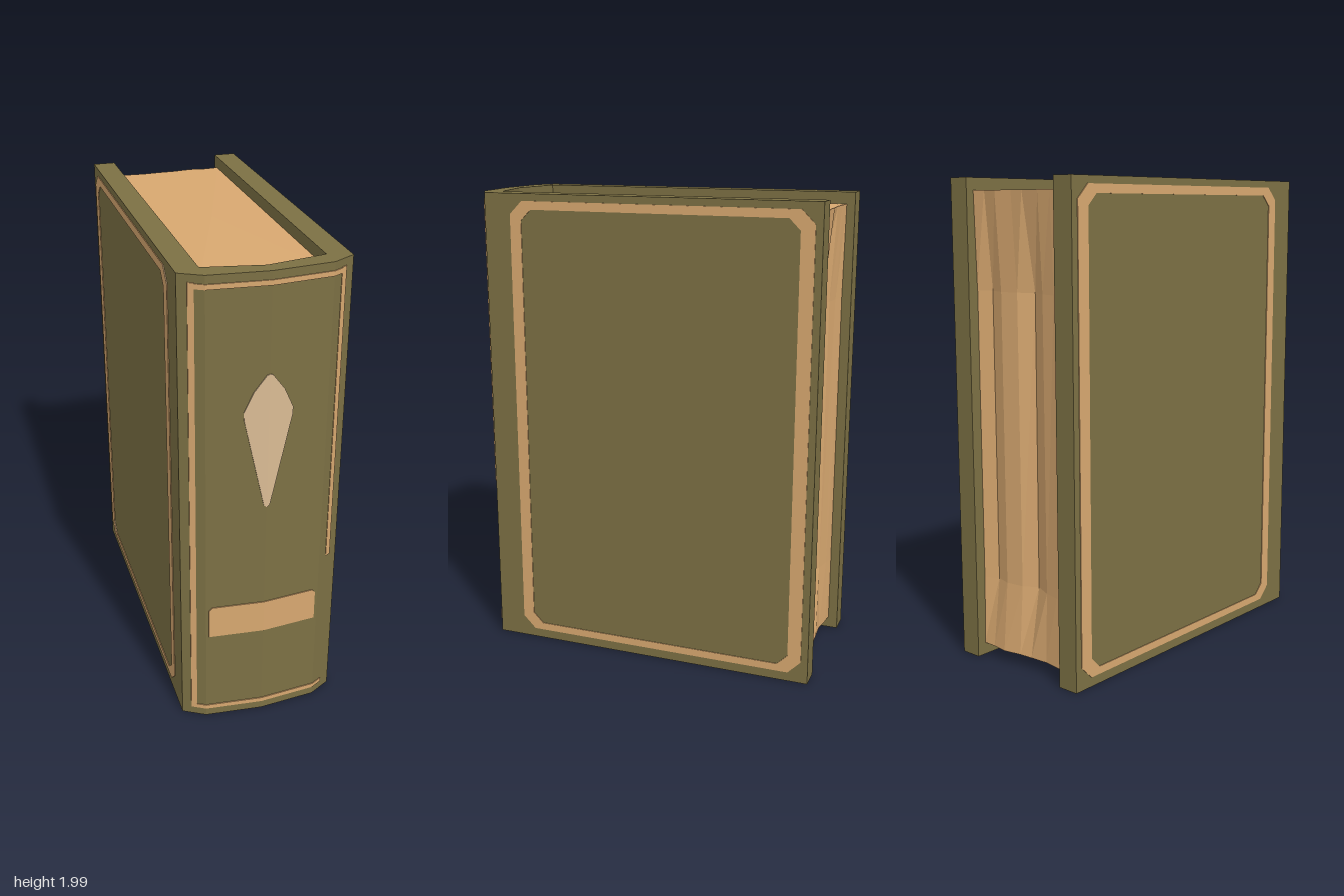
import * as THREE from 'three';

const Y0 = 0.01, Y1 = 1.995;
const mat = (name, color) => Object.assign(new THREE.MeshStandardMaterial({ color }), { name });

// Outer spine profile: depth at a given x
function spineZ(x) {
  const a = Math.abs(x);
  return a < 0.24 ? 0.755 - (a / 0.24) * 0.022 : 0.733 - ((a - 0.24) / 0.09) * 0.05;
}

function polygon(points) {
  return new THREE.Shape(points.map(([x, y]) => new THREE.Vector2(x, y)));
}

// Rectangle with cut corners
function chamferedRect(x0, y0, x1, y1, c) {
  return [[x0 + c, y0], [x1 - c, y0], [x1, y0 + c], [x1, y1 - c],
    [x1 - c, y1], [x0 + c, y1], [x0, y1 - c], [x0, y0 + c]];
}

// Thin plate that follows the spine profile
function spinePlate(points) {
  const g = new THREE.ExtrudeGeometry(polygon(points), { depth: 0.008, bevelEnabled: false });
  const p = g.attributes.position;
  for (let i = 0; i < p.count; i++) p.setZ(i, p.getZ(i) - 0.004 + spineZ(p.getX(i)));
  g.computeVertexNormals();
  return g;
}

// Page block: stacked cross-sections with a rippled fore-edge
function pageBlock() {
  const xs = [-0.24, -0.18, -0.11, -0.03, 0.03, 0.11, 0.18, 0.24];
  const levels = [
    { y: 0.06, z: [-0.715, -0.71, -0.7, -0.705, -0.71, -0.725, -0.715, -0.715] },
    { y: 0.35, z: [-0.715, -0.705, -0.69, -0.655, -0.69, -0.7, -0.68, -0.71] },
    { y: 1.55, z: [-0.715, -0.7, -0.69, -0.65, -0.69, -0.7, -0.68, -0.71] },
    { y: 1.945, z: [-0.72, -0.715, -0.71, -0.715, -0.715, -0.725, -0.715, -0.72] },
  ];
  const n = xs.length + 3, pos = [], idx = [];
  for (const { y, z } of levels) {
    xs.forEach((x, i) => pos.push(x, y, z[i]));
    pos.push(0.24, y, 0.66, 0, y, 0.7, -0.24, y, 0.66);
  }
  const bottom = levels.length * n, top = bottom + 1;
  pos.push(0, 0.05, 0, 0, 1.955, 0);
  for (let i = 0; i < n; i++) {
    const j = (i + 1) % n, last = (levels.length - 1) * n;
    for (let r = 0; r < levels.length - 1; r++) {
      const a = r * n + i, b = r * n + j;
      idx.push(a, a + n, b, b, a + n, b + n);
    }
    idx.push(bottom, i, j, top, last + j, last + i);
  }
  const g = new THREE.BufferGeometry();
  g.setAttribute('position', new THREE.Float32BufferAttribute(pos, 3));
  g.setIndex(idx);
  const flat = g.toNonIndexed();
  flat.computeVertexNormals();
  return flat;
}

export function createModel() {
  const book = new THREE.Group();
  book.name = 'book';
  const olive = mat('olive leather', 0x7c7044);
  const tan = mat('tan paper and trim', 0xd8a870);
  const cream = mat('pale ornament', 0xdabb94);
  const add = (name, geometry, material) => {
    const m = new THREE.Mesh(geometry, material);
    m.name = name;
    book.add(m);
    return m;
  };

  // Spine, extruded upward from its plan outline
  const outline = [[-0.33, 0.683], [-0.24, 0.733], [0, 0.755], [0.24, 0.733], [0.33, 0.683],
    [0.33, 0.65], [0.24, 0.65], [0, 0.695], [-0.24, 0.65], [-0.33, 0.65]];
  const spine = new THREE.ExtrudeGeometry(polygon(outline.map(([x, z]) => [x, -z])),
    { depth: Y1 - Y0, bevelEnabled: false });
  spine.rotateX(-Math.PI / 2).translate(0, Y0, 0);
  add('spine', spine, olive);

  add('pages', pageBlock(), tan);

  for (const s of [1, -1]) {
    const side = s > 0 ? 'left' : 'right';

    // Cover board
    const board = add(side + 'Cover', new THREE.BoxGeometry(0.092, Y1 - Y0, 1.405), olive);
    board.position.set(s * 0.284, (Y0 + Y1) / 2, -0.0525);

    // Border inlaid on the cover, with cut corners
    const border = polygon(chamferedRect(-0.725, 0.05, 0.565, 1.965, 0.055));
    border.holes.push(new THREE.Path(
      polygon(chamferedRect(-0.668, 0.082, 0.515, 1.93, 0.045)).getPoints()));
    const frame = new THREE.ExtrudeGeometry(border, { depth: 0.006, bevelEnabled: false });
    frame.rotateY(-Math.PI / 2).translate(s * 0.33 + 0.003, 0, 0);
    add(side + 'CoverBorder', frame, tan);

    // Spine details, one half per side
    const half = (name, points, material) =>
      add(side + name, spinePlate(points.map(([x, y]) => [s * x, y])), material);
    const rect = (x0, y0, x1, y1) => [[x0, y0], [x1, y0], [x1, y1], [x0, y1]];

    half('Ornament', [[0, 1.03], [0.012, 1.04], [0.095, 1.42], [0.096, 1.45],
      [0.06, 1.53], [0.012, 1.595], [0, 1.6]], cream);
    half('Label', [[0, 0.43], [0.228, 0.43], [0.228, 0.56], [0.215, 0.575], [0, 0.575]], tan);
    half('SpineBorder', rect(0.275, s > 0 ? 0.72 : 0.047, 0.296, 1.965), tan);
    for (const [y0, y1] of [[0.047, 0.066], [1.942, 1.962]]) {
      half('SpineBorderEnd', rect(0, y0, 0.24, y1), tan);
      half('SpineBorderCorner', rect(0.24, y0, 0.285, y1), tan);
    }
  }
  return book;
}
